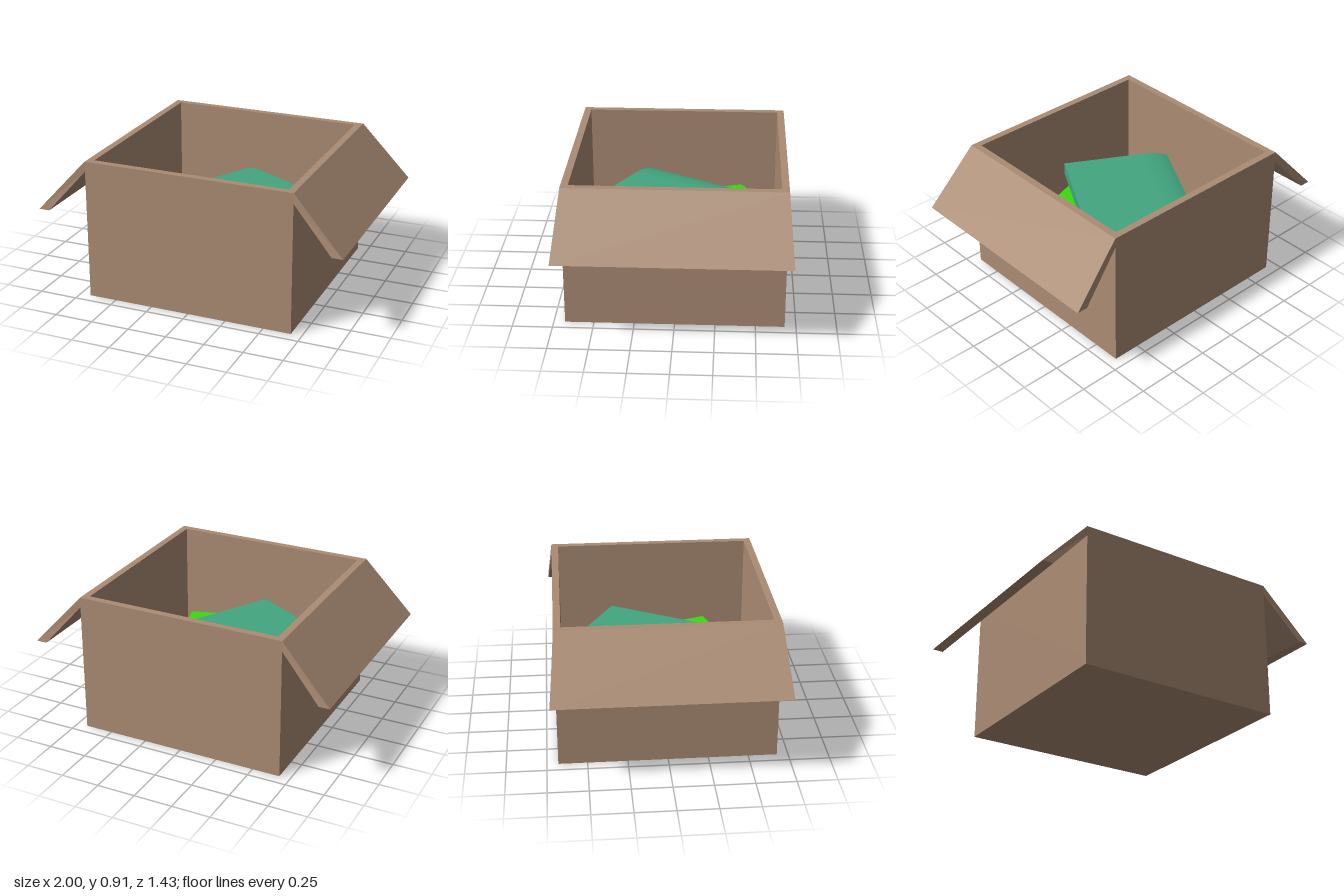
import * as THREE from 'three';
import { toCreasedNormals } from 'three/addons/utils/BufferGeometryUtils.js';

const HALF = 0.68, INNER = 0.635, TOP = 0.91, FLOOR = 0.045;

const paint = (name, color) => {
  const m = new THREE.MeshStandardMaterial({ color });
  m.name = name;
  return m;
};

const part = (name, geometry, material) => {
  const mesh = new THREE.Mesh(geometry, material);
  mesh.name = name;
  return mesh;
};

const square = (Type, h) => new Type([[-h, -h], [h, -h], [h, h], [-h, h]].map(p => new THREE.Vector2(...p)));

// Four walls as one hollow square, standing on the floor panel
function wallGeometry() {
  const shape = square(THREE.Shape, HALF);
  shape.holes.push(square(THREE.Path, INNER));
  return new THREE.ExtrudeGeometry(shape, { depth: TOP - FLOOR, bevelEnabled: false })
    .rotateX(-Math.PI / 2).translate(0, FLOOR, 0);
}

// Folded-out flap: slanted section, widening slightly toward its free edge
function flapGeometry() {
  const shape = new THREE.Shape([[HALF, 0.845], [0.93, 0.56], [1, 0.56], [HALF, TOP]]
    .map(p => new THREE.Vector2(...p)));
  const g = new THREE.ExtrudeGeometry(shape, { depth: 2 * HALF, bevelEnabled: false })
    .translate(0, 0, -HALF);
  const pos = g.attributes.position;
  for (let i = 0; i < pos.count; i++) {
    if (pos.getX(i) > 0.8) pos.setZ(i, Math.sign(pos.getZ(i)) * 0.713);
  }
  g.computeVertexNormals();
  return g;
}

// Book with a softly rounded top along its spine side
function bookGeometry(height) {
  const w = 0.36, length = 1.0;
  const shape = new THREE.Shape();
  shape.moveTo(-w, 0);
  shape.lineTo(w, 0);
  shape.lineTo(w, height);
  shape.lineTo(-w + 0.2, height);
  shape.quadraticCurveTo(-w + 0.07, height, -w, height - 0.03);
  shape.closePath();
  const g = new THREE.ExtrudeGeometry(shape, { depth: length, bevelEnabled: false, curveSegments: 8 })
    .translate(0, 0, -length / 2);
  return toCreasedNormals(g, 0.6);
}

export function createModel() {
  const model = new THREE.Group();
  model.name = 'openBox';
  const cardboard = paint('cardboard', 0xab8c74);

  // Carton
  const floor = new THREE.BoxGeometry(2 * HALF, FLOOR, 2 * HALF).translate(0, FLOOR / 2, 0);
  model.add(part('floor', floor, cardboard), part('walls', wallGeometry(), cardboard));

  // Side flaps
  const flap = flapGeometry();
  const leftFlap = part('leftFlap', flap, cardboard);
  const rightFlap = part('rightFlap', flap, cardboard);
  rightFlap.rotation.y = Math.PI;
  model.add(leftFlap, rightFlap);

  // Stack of turned books: name, material, x, z, bottom, top, turn
  const books = [
    ['bottomBook', paint('olive', 0x898811), -0.04, -0.078, FLOOR, 0.24, 0],
    ['middleBook', paint('green', 0x3dda10), -0.05, -0.03, 0.24, 0.44, 0.309],
    ['topBook', paint('teal', 0x42a680), -0.065, -0.025, 0.44, 0.52, -0.515],
  ];
  for (const [name, material, x, z, bottom, top, turn] of books) {
    const book = part(name, bookGeometry(top - bottom), material);
    book.position.set(x, bottom, z);
    book.rotation.y = turn;
    model.add(book);
  }
  return model;
}
